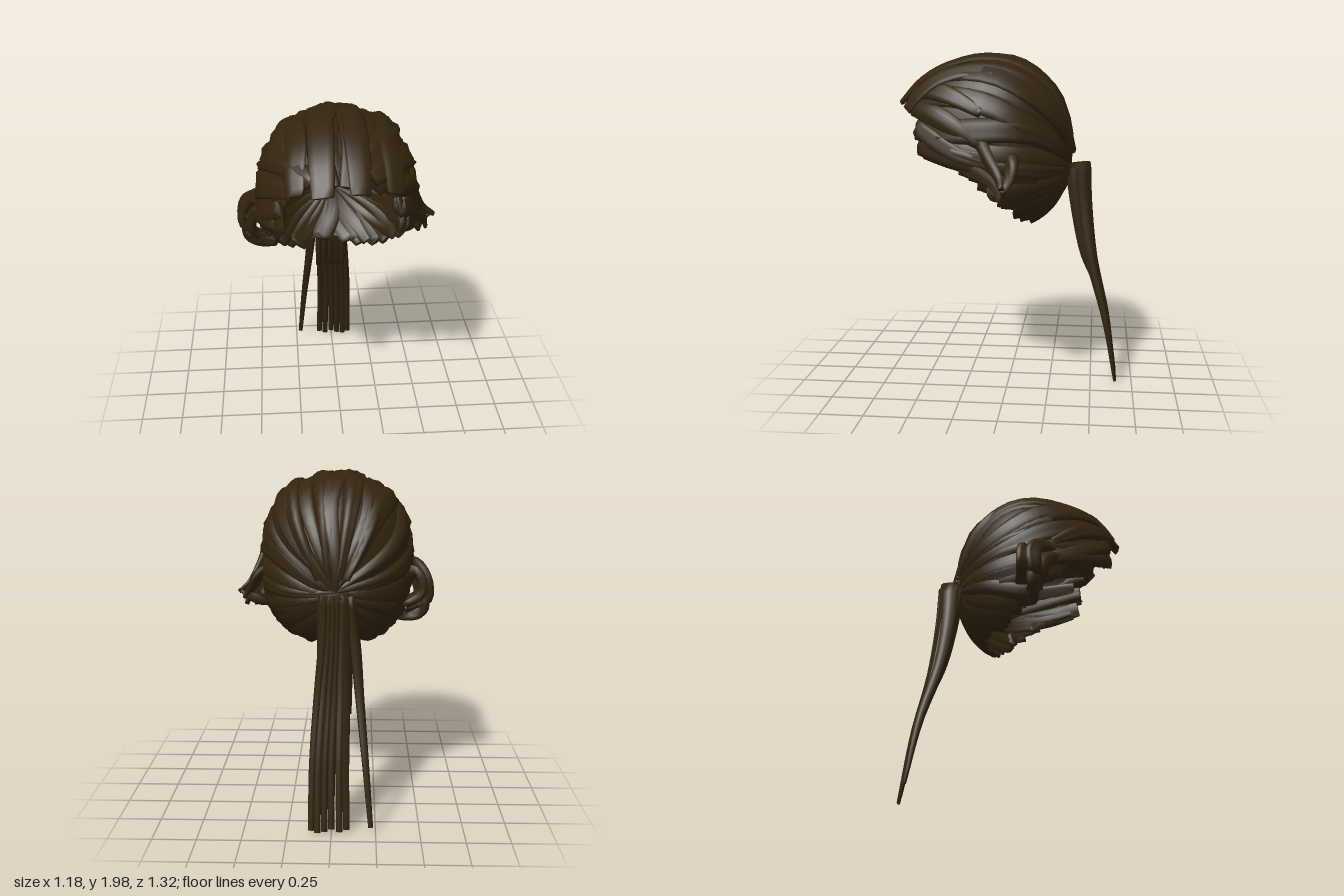
import * as THREE from 'three';

const V = (x, y, z) => new THREE.Vector3(x, y, z);
const hair = new THREE.MeshStandardMaterial({ color: 0x33240f, side: THREE.DoubleSide });
hair.name = 'dark brown hair';

let seed = 7;
const rnd = () => (seed = (seed * 16807) % 2147483647) / 2147483647;
const jit = (a) => (rnd() - 0.5) * 2 * a;

// Skull: a rounded ellipsoid, longer towards the face
const C = V(-0.015, 1.45, 0.1), RX = 0.46, RY = 0.55;
const rz = (z) => (z > 0 ? 0.62 : 0.48);
const toDir = (p) => V(p.x / RX, (p.y - C.y) / RY, (p.z - C.z) / rz(p.z - C.z)).normalize();
function onSkull(d, s) {
  const q = Math.pow(Math.abs(d.x) ** 2.5 + Math.abs(d.y) ** 2.5, 0.8) + d.z * d.z;
  const r = s / Math.sqrt(q);
  return V(C.x + d.x * r * RX, C.y + d.y * r * RY, C.z + d.z * r * rz(d.z));
}

// Hairline loop, mirrored left and right
const half = [[0.14, 1.78, 0.58], [0.28, 1.7, 0.55], [0.34, 1.6, 0.53], [0.35, 1.5, 0.52], [0.4, 1.43, 0.36],
  [0.43, 1.36, 0.2], [0.42, 1.25, 0.08], [0.37, 1.14, -0.01], [0.27, 1.06, -0.1], [0.12, 1.05, -0.16]];
const hairline = new THREE.CatmullRomCurve3([
  V(0, 1.78, 0.6), ...half.map((p) => V(...p)), V(0, 1.05, -0.18),
  ...half.slice().reverse().map(([x, y, z]) => V(-x, y, z))], true);
const knot = toDir(V(0, 1.34, -0.37));

// Arc over the skull from the ponytail knot to the hairline
function arc(u, t, s) {
  const e = toDir(hairline.getPointAt(((u % 1) + 1) % 1));
  const w = Math.acos(THREE.MathUtils.clamp(knot.dot(e), -1, 1));
  const d = knot.clone().multiplyScalar(Math.sin((1 - t) * w)).addScaledVector(e, Math.sin(t * w));
  return onSkull(d.normalize(), s);
}

// A lock of hair: a flat ridged section swept along a path, with blunt ends
function lock(points, normalAt, width, height, steps = 16, sides = 12) {
  const curve = new THREE.CatmullRomCurve3(points);
  const pos = [], idx = [];
  const phase = rnd() * 6;
  for (let i = 0; i <= steps; i++) {
    const t = i / steps, p = curve.getPoint(t), T = curve.getTangent(t);
    const B = T.clone().cross(normalAt(p)).normalize(), N = B.clone().cross(T);
    for (let j = 0; j < sides; j++) {
      const a = (j / sides) * Math.PI * 2;
      const h = height(t) * Math.sin(a) * (1 + 0.3 * Math.cos(j * 2.1 + phase));
      const v = p.clone().addScaledVector(B, width(t) * Math.cos(a)).addScaledVector(N, h);
      pos.push(v.x, v.y, v.z);
    }
  }
  for (let i = 0; i < steps; i++) for (let j = 0; j < sides; j++) {
    const k = (j + 1) % sides, a = i * sides + j, b = i * sides + k, c = a + sides, d = b + sides;
    idx.push(a, c, b, b, c, d);
  }
  const last = steps * sides;
  for (let j = 1; j < sides - 1; j++) idx.push(0, j, j + 1, last, last + j + 1, last + j);
  const g = new THREE.BufferGeometry();
  g.setAttribute('position', new THREE.Float32BufferAttribute(pos, 3));
  g.setIndex(idx);
  g.computeVertexNormals();
  return g;
}

const outward = (p) => V((p.x - C.x) / RX, (p.y - C.y) / RY, (p.z - C.z) / rz(p.z - C.z)).normalize();
const back = () => V(0, 0, -1);

export function createModel() {
  const model = new THREE.Group();
  const group = (name) => {
    const g = new THREE.Group();
    g.name = name;
    model.add(g);
    return g;
  };
  const add = (parent, name, geometry) => {
    const m = new THREE.Mesh(geometry, hair);
    m.name = name;
    parent.add(m);
    return m;
  };

  // Under-layer closing the gaps between locks
  const pos = [], idx = [], U = 64, R = 18;
  for (let i = 0; i <= R; i++) for (let j = 0; j < U; j++) {
    const p = arc(j / U, (i / R) * 0.97, 0.93);
    pos.push(p.x, p.y, p.z);
    if (i < R) {
      const a = i * U + j, b = i * U + (j + 1) % U;
      idx.push(a, a + U, b, b, a + U, b + U);
    }
  }
  const cap = new THREE.BufferGeometry();
  cap.setAttribute('position', new THREE.Float32BufferAttribute(pos, 3));
  cap.setIndex(idx);
  cap.computeVertexNormals();
  add(model, 'underLayer', cap);

  // Two layers of locks combed back to the knot
  const combed = group('combedHair');
  for (const [count, scale, w, h, shift] of [[30, 0.945, 0.072, 0.028, 0.5], [34, 0.92, 0.06, 0.024, 0]]) {
    for (let i = 0; i < count; i++) {
      const u = (i + shift + jit(0.25)) / count, end = 1 + jit(0.035), bend = jit(0.018), s = scale + jit(0.012);
      const pts = [];
      for (let k = 0; k <= 8; k++) {
        const t = k / 8;
        pts.push(arc(u + bend * Math.sin(t * Math.PI * 1.5), t * end, s));
      }
      const width = (t) => w * (0.22 + 0.78 * Math.sin(Math.PI * Math.min(t * 0.72, 1)));
      add(combed, 'combedLock', lock(pts, outward, width, (t) => h * (0.6 + 0.4 * Math.sin(Math.PI * t))));
    }
  }

  // Fringe locks reaching forward over the forehead
  const fringe = group('fringe');
  for (const [x, w, tipY, tipZ] of [[-0.115, 0.075, 1.7, 0.645], [0.07, 0.07, 1.71, 0.64], [-0.25, 0.07, 1.68, 0.57], [0.25, 0.07, 1.68, 0.57]]) {
    const drop = Math.abs(x) > 0.2 ? 0.06 : 0;
    const pts = [V(x * 0.3, 1.42, -0.36), V(x * 0.8, 1.75 - drop, -0.27), V(x, 1.92 - drop, -0.08), V(x, 1.97 - drop, 0.15),
      V(x, 1.92 - drop, 0.38), V(x * 1.05, 1.83 - drop, 0.53 - drop / 2), V(x * 1.05, tipY, tipZ)];
    add(fringe, 'fringeLock', lock(pts, outward, (t) => w * (0.3 + 0.7 * Math.sin(Math.PI * Math.min(t * 0.75, 1))),
      (t) => 0.03 - 0.017 * t, 20));
  }
  // Slanted locks crossing beside the fringe
  for (const s of [-1, 1]) for (let i = 0; i < 4; i++) {
    const pts = [0, 0.33, 0.66, 1].map((t) => arc(s * (0.05 + i * 0.042 + 0.05 * (1 - t)), 0.7 + 0.3 * t, 0.965));
    add(fringe, 'crossingLock', lock(pts, outward, (t) => 0.03 + 0.03 * Math.sin(Math.PI * t * 0.8), () => 0.024, 10));
  }

  // Side curl on the right: a loop of locks
  const rightCurl = group('rightSideCurl');
  const side = (p) => V(p.x, 0, 0.15);
  const curls = [
    [[-0.43, 1.46, 0.16], [-0.51, 1.43, 0.03], [-0.56, 1.35, -0.01], [-0.56, 1.25, 0], [-0.47, 1.2, 0.02]],
    [[-0.42, 1.4, 0.26], [-0.47, 1.38, 0.12], [-0.51, 1.3, 0.05], [-0.5, 1.21, 0.03], [-0.42, 1.18, 0]],
    [[-0.54, 1.24, -0.02], [-0.53, 1.18, 0], [-0.46, 1.15, 0.02], [-0.37, 1.14, 0.02]],
    [[-0.42, 1.42, -0.02], [-0.5, 1.4, -0.05], [-0.52, 1.3, -0.06], [-0.42, 1.22, -0.06]]];
  for (const c of curls) add(rightCurl, 'curlLock', lock(c.map((p) => V(...p)), side, (t) => 0.03 + 0.022 * Math.sin(Math.PI * t), () => 0.026, 12));

  // Side tuft on the left: pointed locks
  const leftTuft = group('leftSideTuft');
  const tufts = [
    [[0.41, 1.52, 0.14], [0.455, 1.42, 0.08], [0.51, 1.33, 0.02], [0.575, 1.28, 0]],
    [[0.4, 1.36, 0.2], [0.46, 1.32, 0.1], [0.51, 1.27, 0.03], [0.53, 1.2, 0.01]],
    [[0.36, 1.24, 0.06], [0.43, 1.23, 0.03], [0.5, 1.25, 0], [0.56, 1.29, 0]],
    [[0.4, 1.42, -0.04], [0.46, 1.38, -0.05], [0.5, 1.31, -0.04], [0.54, 1.25, -0.01]],
    [[0.4, 1.3, -0.02], [0.45, 1.28, 0.05], [0.48, 1.22, 0.05], [0.47, 1.21, 0.02]]];
  for (const c of tufts) add(leftTuft, 'tuftLock', lock(c.map((p) => V(...p)), side, (t) => 0.05 - 0.032 * t, (t) => 0.032 - 0.022 * t, 10));

  // Wrapped knot
  const knotGroup = group('knot');
  for (let i = 0; i < 3; i++) {
    const ring = add(knotGroup, 'knotWrap', new THREE.TorusGeometry(0.062, 0.02, 8, 24));
    ring.rotation.set(Math.PI / 2 + 0.15 + jit(0.15), jit(0.15), 0);
    ring.scale.set(1.15, 0.75, 1);
    ring.position.set(-0.02, 1.33 - i * 0.025, -0.41);
  }

  // Ponytail: back row of long strands, one loose strand, and a shorter front row
  const tail = group('ponytail');
  const tailW = (t) => 0.03 - 0.012 * t;
  const tailH = (t) => 0.045 * (1 - t) + 0.008;
  const ends = [-0.085, -0.045, 0, 0.04, 0.08, 0.115];
  ends.forEach((x, i) => {
    const top = -0.075 + i * 0.024, low = 0.02 + rnd() * 0.04;
    const pts = [V(top, 1.35, -0.42), V(top * 1.05 + 0.004, 1.1, -0.445), V((top + x) / 2, 0.78, -0.495),
      V(x * 0.92, 0.42, -0.585), V(x, low, -0.65)];
    add(tail, 'longStrand', lock(pts, back, tailW, tailH, 18));
  });
  add(tail, 'looseStrand', lock([V(-0.085, 1.34, -0.41), V(-0.13, 1.05, -0.43), V(-0.155, 0.78, -0.475), V(-0.19, 0.42, -0.58), V(-0.222, 0.055, -0.645)],
    back, (t) => 0.038 - 0.024 * t, tailH, 18));
  for (let i = 0; i < 5; i++) {
    const x = -0.08 + i * 0.034;
    const pts = [V(x, 1.33, -0.38), V(x * 1.1, 1.05, -0.41), V(x * 1.15, 0.82, -0.45), V(x * 1.15, 0.68, -0.5)];
    add(tail, 'shortStrand', lock(pts, back, (t) => 0.028 - 0.01 * t, (t) => 0.042 - 0.03 * t, 10));
  }
  return model;
}
